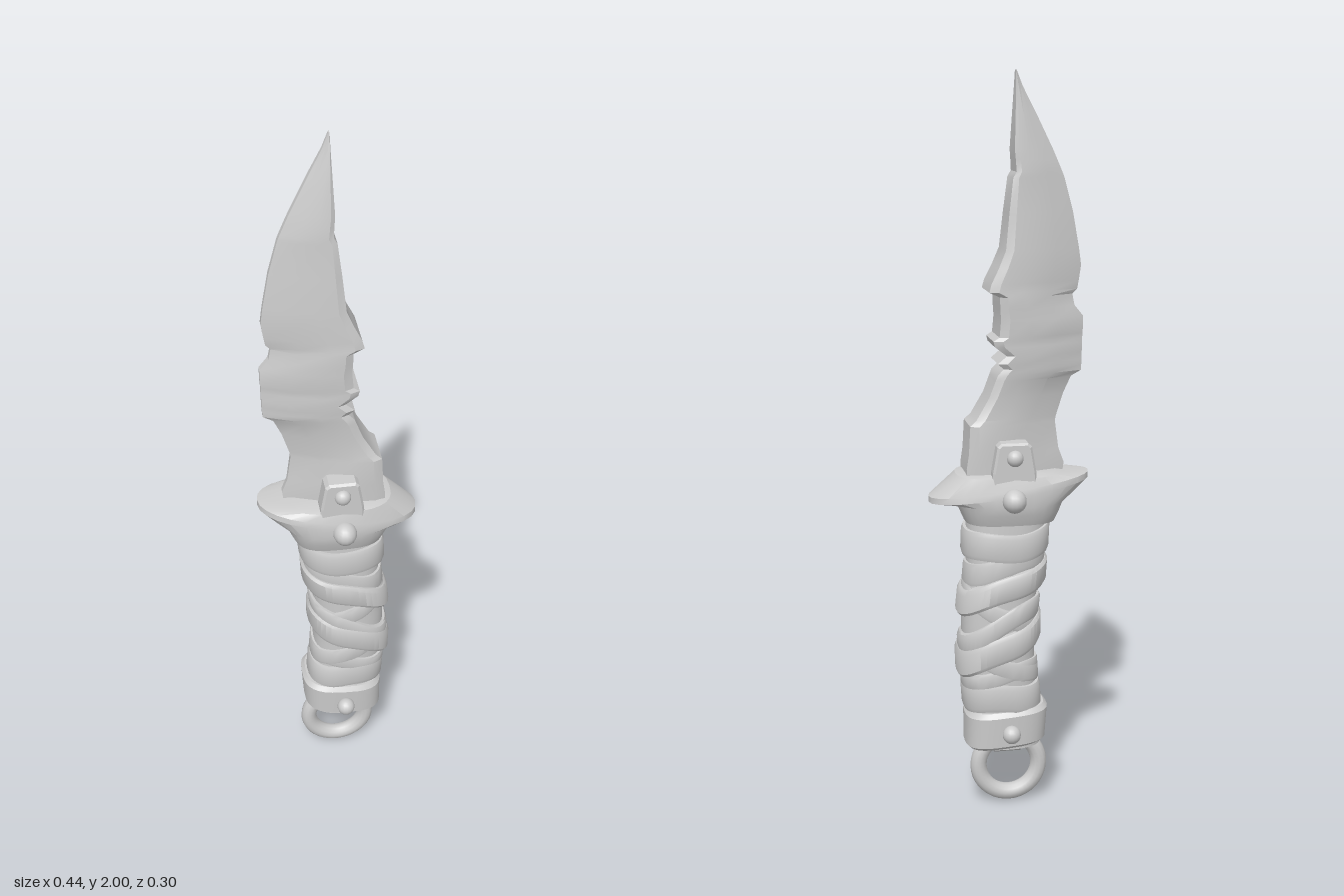
import * as THREE from 'three';
import { toCreasedNormals } from 'three/addons/utils/BufferGeometryUtils.js';

const metal = new THREE.MeshStandardMaterial({ color: 0xcccccc });
metal.name = 'grey';

// Skin a stack of closed rings (bottom to top, running +x, +z, -x, -z) and cap both ends
function loft(rings, crease = 0.5) {
  const n = rings[0].length, pos = [], idx = [];
  rings.forEach(r => r.forEach(p => pos.push(...p)));
  for (let i = 0; i < rings.length - 1; i++)
    for (let j = 0; j < n; j++) {
      const a = i * n + j, b = i * n + (j + 1) % n;
      idx.push(a, a + n, b, b, a + n, b + n);
    }
  [0, rings.length - 1].forEach((k, end) => {
    const c = pos.length / 3;
    pos.push(...[0, 1, 2].map(d => rings[k].reduce((s, p) => s + p[d], 0) / n));
    for (let j = 0; j < n; j++) {
      const a = k * n + j, b = k * n + (j + 1) % n;
      if (end) idx.push(c, b, a); else idx.push(c, a, b);
    }
  });
  const g = new THREE.BufferGeometry();
  g.setAttribute('position', new THREE.Float32BufferAttribute(pos, 3));
  g.setIndex(idx);
  return toCreasedNormals(g, crease);
}

// Rounded-rectangle-like oval; y may depend on x and z
function oval(cx, rx, rz, y, n = 32, power = 2.5) {
  const pts = [];
  for (let i = 0; i < n; i++) {
    const t = i / n * Math.PI * 2, c = Math.cos(t), s = Math.sin(t);
    const x = cx + Math.sign(c) * Math.abs(c) ** (2 / power) * rx;
    const z = Math.sign(s) * Math.abs(s) ** (2 / power) * rz;
    pts.push([x, typeof y === 'function' ? y(x, z) : y, z]);
  }
  return pts;
}

// Grip shape: [y, centre x, half width, half depth]
const grip = [[0.18, 0.015, 0.1, 0.08], [0.3, 0.02, 0.096, 0.08], [0.42, 0.03, 0.1, 0.085],
  [0.55, 0.032, 0.097, 0.09], [0.68, 0.015, 0.1, 0.088], [0.78, 0.01, 0.108, 0.087], [0.86, 0.005, 0.108, 0.085]];
function gripAt(y) {
  let i = 0;
  while (i < grip.length - 2 && y > grip[i + 1][0]) i++;
  const a = grip[i], b = grip[i + 1];
  const t = THREE.MathUtils.clamp((y - a[0]) / (b[0] - a[0]), 0, 1);
  return a.map((v, k) => v + (b[k] - v) * t);
}

// Leather band round the grip, tilted along x and z
function band(y0, h, tiltX, tiltZ, thick) {
  const [, cx, rx, rz] = gripAt(y0);
  const profile = [[-h / 2, -0.015], [-h / 2, thick * 0.7], [-h * 0.35, thick], [h * 0.35, thick], [h / 2, thick * 0.7], [h / 2, -0.015]];
  return loft(profile.map(([dy, out]) => oval(0, rx + out, rz + out, 0, 40).map(([x, , z]) => {
    const y = y0 + dy + tiltX * x + tiltZ * z + 0.008 * Math.sin(x * 25 + y0 * 40);
    return [x + cx + (gripAt(y)[1] - cx) * 0.8, y, z];
  })), 0.6);
}

export function createModel() {
  const model = new THREE.Group();
  const add = (name, geo, x = 0, y = 0, z = 0) => {
    const m = new THREE.Mesh(geo, metal);
    m.name = name;
    m.position.set(x, y, z);
    model.add(m);
    return m;
  };

  // Blade: [y, cutting edge x, spine x, half thickness]
  const blade = [
    [0.9, -0.14, 0.12, 0.065], [0.97, -0.15, 0.122, 0.065], [1.01, -0.135, 0.116, 0.066],
    [1.085, -0.125, 0.112, 0.066], [1.1, -0.128, 0.095, 0.062], [1.16, -0.147, 0.06, 0.06],
    [1.205, -0.168, 0.043, 0.062], [1.22, -0.195, 0.037, 0.063], [1.235, -0.196, 0.022, 0.063],
    [1.25, -0.197, 0.038, 0.066], [1.27, -0.197, 0.014, 0.066], [1.295, -0.198, 0.046, 0.069],
    [1.31, -0.198, 0.05, 0.069], [1.32, -0.199, 0.034, 0.069], [1.365, -0.2, 0.03, 0.069],
    [1.395, -0.176, 0.032, 0.07], [1.425, -0.17, 0.033, 0.071], [1.438, -0.183, 0.061, 0.071],
    [1.46, -0.187, 0.055, 0.07], [1.5, -0.193, 0.035, 0.067], [1.545, -0.187, 0.016, 0.064],
    [1.64, -0.17, 0.006, 0.057], [1.73, -0.146, -0.005, 0.051], [1.745, -0.14, -0.014, 0.05],
    [1.775, -0.127, -0.012, 0.047], [1.8, -0.116, -0.01, 0.045], [1.89, -0.072, -0.014, 0.031], [1.96, -0.036, -0.017, 0.018],
    [2.0, -0.021, -0.018, 0.008]];
  add('blade', loft(blade.map(([y, l, r, t]) => {
    const w = r - l;
    const half = [[r, t * 0.86], [r - w * 0.1, t], [r - w * 0.35, t * 0.93], [l + w * 0.33, t * 0.62], [l, Math.min(0.008, t * 0.3)]];
    return [...half, ...half.slice().reverse().map(([x, z]) => [x, -z])].map(([x, z]) => [x, y, z]);
  }), 0.45));

  // Guard: collar flaring into two slanted points
  const slant = (x, z) => 0.91 - 0.13 * x;
  add('guard', loft([
    oval(0, 0.122, 0.095, 0.82, 28, 3),
    oval(0, 0.135, 0.107, 0.85, 28, 3),
    oval(0, 0.145, 0.112, 0.872, 28, 2.8),
    oval(0, 0.218, 0.113, (x, z) => slant(x, z) - 0.008, 28, 2.1),
    oval(0, 0.218, 0.11, (x, z) => slant(x, z) + 0.008, 28, 2.1),
    oval(0, 0.145, 0.1, 0.95, 28, 2.8),
    oval(0, 0.125, 0.085, 0.955, 28, 3)], 0.4));

  // Trapezoid lugs gripping the blade, with rivets on both faces
  const lug = new THREE.Shape([[-0.062, 0.9], [0.062, 0.9], [0.058, 0.965], [0.046, 1.035], [0.036, 1.045],
    [-0.036, 1.045], [-0.046, 1.035], [-0.058, 0.965]].map(p => new THREE.Vector2(...p)));
  const lugGeo = new THREE.ExtrudeGeometry(lug, { depth: 0.045, bevelSize: 0.006, bevelThickness: 0.006, bevelOffset: -0.006, bevelSegments: 1 });
  const rivet = (r, depth) => new THREE.SphereGeometry(r, 16, 12).scale(1, 1, depth / r);
  for (const s of [1, -1]) {
    add('bladeLug', lugGeo, 0, 0, s > 0 ? 0.05 : -0.095);
    add('lugRivet', rivet(0.022, 0.02), 0, 1.005, s * 0.102);
    add('guardRivet', rivet(0.032, 0.036), 0.004, 0.893, s * 0.115);
    add('pommelRivet', rivet(0.025, 0.025), 0.01, 0.235, s * 0.108);
  }

  // Grip core and crossed wrappings
  add('gripCore', loft(grip.map(([y, cx, rx, rz]) => oval(cx, rx, rz, y))));
  const bands = [
    [0.765, 0.075, -0.08, 0.05, 0.012], [0.7, 0.06, -0.2, -0.08, 0.008], [0.645, 0.07, -0.42, 0.05, 0.019],
    [0.575, 0.05, 0.5, 0.06, 0.009], [0.53, 0.06, -0.5, -0.1, 0.013], [0.48, 0.075, -0.5, 0.08, 0.019],
    [0.43, 0.05, 0.4, 0.05, 0.008], [0.39, 0.045, -0.15, -0.06, 0.008], [0.33, 0.075, -0.05, 0.04, 0.012]];
  bands.forEach(b => add('gripWrap', band(...b)));

  // Pommel cap, slightly tipped
  const tip = y => x => y - 0.08 * x;
  add('pommel', loft([
    oval(0.015, 0.1, 0.08, tip(0.185), 32, 3), oval(0.013, 0.111, 0.092, tip(0.195), 32, 3),
    oval(0.01, 0.114, 0.096, tip(0.28), 32, 3), oval(0.01, 0.104, 0.086, tip(0.293), 32, 3)], 0.4));

  // Hanging ring and the loop that holds it
  add('ring', new THREE.TorusGeometry(0.085, 0.023, 12, 40), 0, 0.108, 0);
  add('ringLoop', new THREE.CylinderGeometry(0.036, 0.036, 0.075, 16).rotateZ(Math.PI / 2), 0.006, 0.182, 0);
  return model;
}
